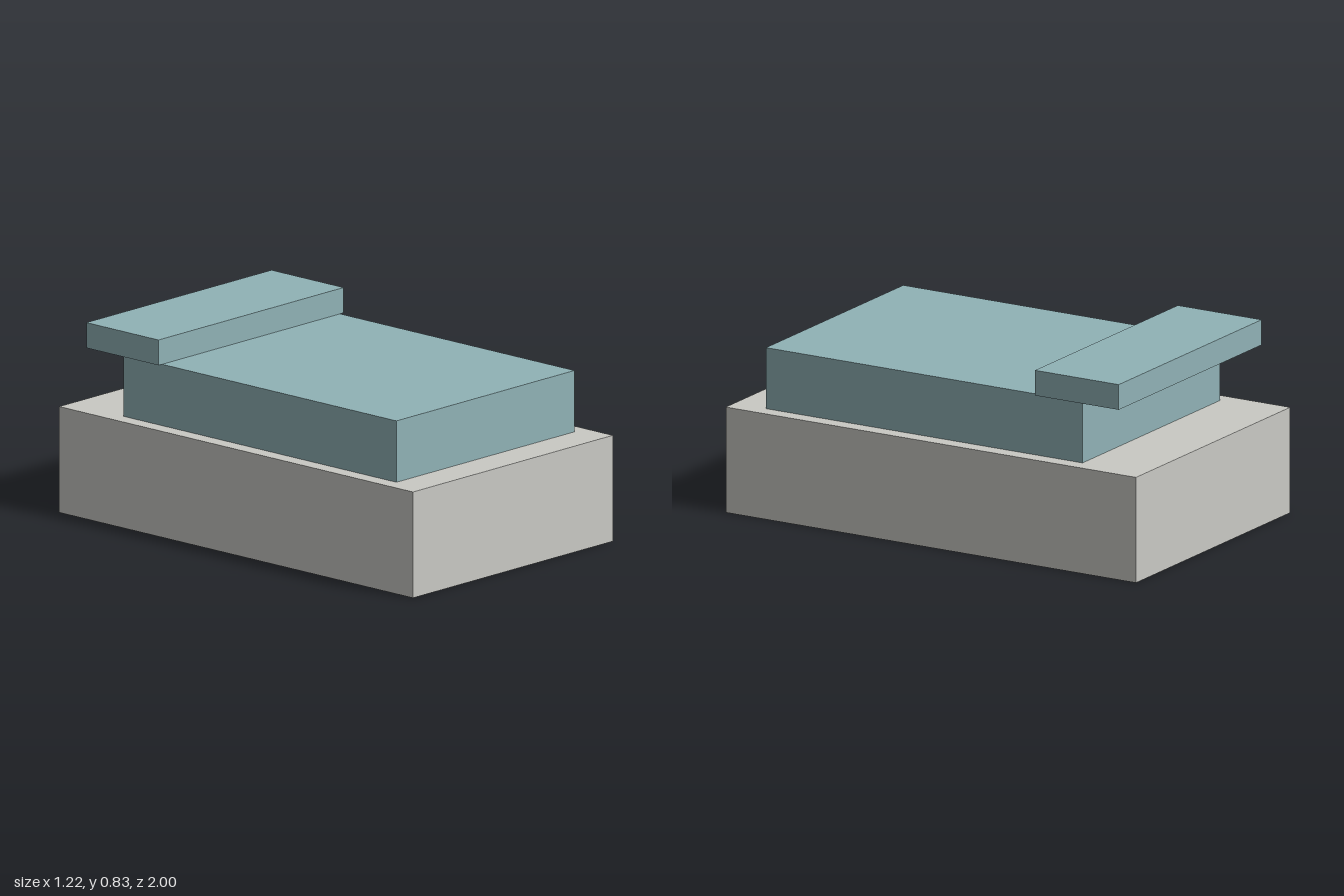
import * as THREE from 'three';

export function createModel() {
  const group = new THREE.Group();

  const stone = new THREE.MeshStandardMaterial({ color: 0xc9c9c4 });
  stone.name = 'warm grey';
  const teal = new THREE.MeshStandardMaterial({ color: 0x90b2b6 });
  teal.name = 'dusty teal';

  // Box centred on x, given by its width and its y and z ranges
  function addBox(name, material, width, [y0, y1], [z0, z1]) {
    const mesh = new THREE.Mesh(new THREE.BoxGeometry(width, y1 - y0, z1 - z0), material);
    mesh.position.set(0, (y0 + y1) / 2, (z0 + z1) / 2);
    mesh.name = name;
    group.add(mesh);
  }

  // Wide plinth
  addBox('base', stone, 1.224, [0, 0.456], [-1, 1]);
  // Main block, set slightly toward the front
  addBox('body', teal, 1.09, [0.456, 0.72], [-0.698, 0.845]);
  // Slab overhanging the back of the body
  addBox('rearSlab', teal, 1.134, [0.72, 0.829], [-0.888, -0.48]);

  return group;
}
